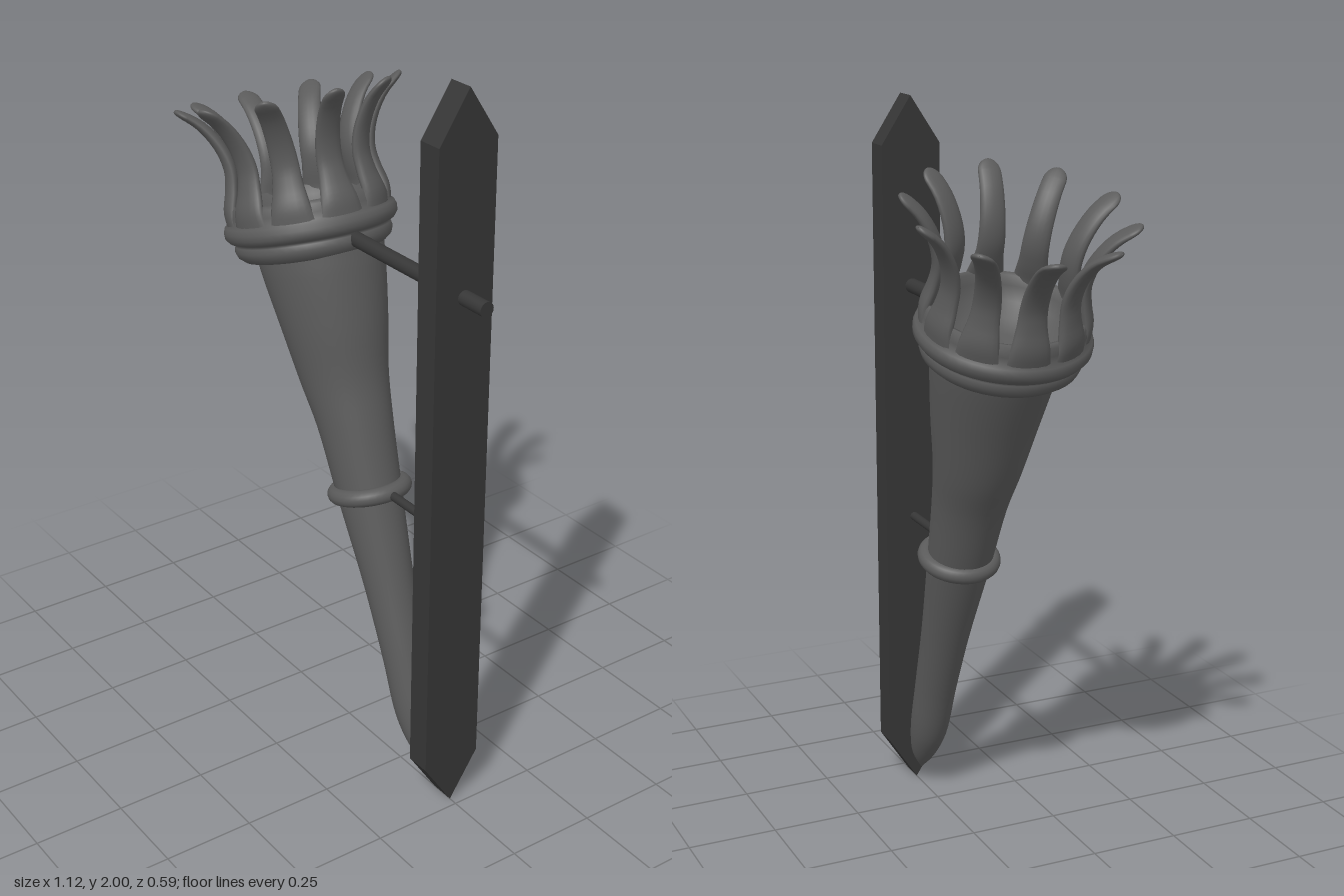
import * as THREE from 'three';

const torchMat = new THREE.MeshStandardMaterial({ color: 0x5a5a5a });
const ironMat = new THREE.MeshStandardMaterial({ color: 0x363636 });
const Z = new THREE.Vector3(0, 0, 1);

function add(parent, name, geometry, material) {
  const mesh = new THREE.Mesh(geometry, material);
  mesh.name = name;
  parent.add(mesh);
  return mesh;
}

// Skin through elliptical sections: {center, out, ro (along out), rz (along z)}
function loft(sections, sides) {
  const pos = [], idx = [];
  sections.forEach(({ center, out, ro, rz }, i) => {
    for (let j = 0; j < sides; j++) {
      const a = (j / sides) * Math.PI * 2;
      const p = center.clone().addScaledVector(out, Math.cos(a) * ro).addScaledVector(Z, Math.sin(a) * rz);
      pos.push(p.x, p.y, p.z);
      if (i === 0) continue;
      const k = (j + 1) % sides, lo = (i - 1) * sides, hi = i * sides;
      idx.push(lo + j, hi + j, lo + k, lo + k, hi + j, hi + k);
    }
  });
  const g = new THREE.BufferGeometry();
  g.setAttribute('position', new THREE.Float32BufferAttribute(pos, 3));
  g.setIndex(idx);
  g.computeVertexNormals();
  return g;
}

// Tapering, slightly bent handle; each point is x, y, radius
function handleGeometry() {
  const curve = new THREE.CatmullRomCurve3([
    [0.368, 0.048, 0.002], [0.352, 0.1, 0.032], [0.315, 0.185, 0.052], [0.259, 0.349, 0.059],
    [0.188, 0.54, 0.068], [0.092, 0.788, 0.088], [0.026, 0.968, 0.102], [-0.021, 1.079, 0.118],
    [-0.066, 1.222, 0.142], [-0.114, 1.36, 0.163], [-0.132, 1.41, 0.168],
  ].map((p) => new THREE.Vector3(...p)));
  const tilt = THREE.MathUtils.degToRad(16);
  const out = new THREE.Vector3(Math.cos(tilt), Math.sin(tilt), 0);
  return loft(curve.getPoints(50).map((p) => {
    const r = Math.max(p.z, 0.001);
    return { center: new THREE.Vector3(p.x, p.y, 0), out, ro: r, rz: r };
  }), 40);
}

// Flame-like petal: leans in at the waist, flares out to a rounded tip
function petalGeometry() {
  const path = new THREE.CatmullRomCurve3([
    [0.197, 0.02], [0.2, 0.06], [0.188, 0.11], [0.182, 0.165], [0.197, 0.225], [0.238, 0.29], [0.297, 0.338],
  ].map(([x, y]) => new THREE.Vector3(x, y, 0)));
  const width = new THREE.CatmullRomCurve3([
    [0.062, 0.02, 0], [0.05, 0.019, 0], [0.038, 0.018, 0], [0.035, 0.017, 0], [0.032, 0.014, 0], [0.03, 0.009, 0],
  ].map((p) => new THREE.Vector3(...p)));
  const sections = [];
  for (let i = 0; i <= 30; i++) {
    const t = i < 20 ? i / 20 * 0.92 : 0.92 + 0.08 * Math.sin(((i - 20) / 10) * Math.PI / 2);
    const round = t > 0.92 ? Math.sqrt(Math.max(1 - ((t - 0.92) / 0.08) ** 2, 0.0004)) : 1;
    const tan = path.getTangent(t), w = width.getPoint(t);
    sections.push({
      center: path.getPoint(t),
      out: new THREE.Vector3(tan.y, -tan.x, 0),
      ro: w.y * Math.sqrt(round),
      rz: w.x * round,
    });
  }
  return loft(sections, 16);
}

function rod(parent, name, x0, x1, y, radius) {
  const mesh = add(parent, name, new THREE.CylinderGeometry(radius, radius, x1 - x0, 16), ironMat);
  mesh.rotation.z = Math.PI / 2;
  mesh.position.set((x0 + x1) / 2, y, 0);
}

export function createModel() {
  const model = new THREE.Group();
  model.name = 'wallTorch';

  // Wall plate with pointed ends
  const outline = new THREE.Shape([
    [0, 0], [0.085, 0.13], [0.085, 1.87], [0, 2], [-0.085, 1.87], [-0.085, 0.13],
  ].map((p) => new THREE.Vector2(...p)));
  const plate = add(model, 'wallPlate', new THREE.ExtrudeGeometry(outline, { depth: 0.07, bevelEnabled: false }), ironMat);
  plate.rotation.y = Math.PI / 2;
  plate.position.x = 0.405;

  // Support rods
  rod(model, 'upperRod', 0.0, 0.56, 1.483, 0.02);
  rod(model, 'lowerRod', 0.15, 0.42, 0.815, 0.012);

  // Handle and its collar
  add(model, 'handle', handleGeometry(), torchMat);
  const collar = new THREE.Group();
  collar.name = 'collar';
  collar.position.set(0.095, 0.79, 0);
  collar.rotation.z = THREE.MathUtils.degToRad(16);
  model.add(collar);
  add(collar, 'collarRing', new THREE.TorusGeometry(0.091, 0.023, 14, 40), torchMat).rotation.x = Math.PI / 2;

  // Head: moulded cup with a hollow bowl
  const head = new THREE.Group();
  head.name = 'head';
  head.position.set(-0.175, 1.468, 0);
  head.rotation.z = THREE.MathUtils.degToRad(17);
  model.add(head);
  const profile = [
    [0, -0.082], [0.165, -0.082], [0.187, -0.077], [0.203, -0.064], [0.209, -0.048], [0.206, -0.034],
    [0.202, -0.028], [0.218, -0.023], [0.228, -0.01], [0.229, 0.005], [0.224, 0.019], [0.212, 0.028],
    [0.211, 0.045], [0.206, 0.065], [0.198, 0.074], [0.186, 0.07], [0.178, 0.045], [0.16, 0.01],
    [0.125, -0.02], [0.075, -0.042], [0, -0.046],
  ].map((p) => new THREE.Vector2(...p));
  add(head, 'cup', new THREE.LatheGeometry(profile, 48), torchMat);

  // Ring of petals
  const petal = petalGeometry();
  for (let i = 0; i < 10; i++) {
    add(head, 'petal', petal, torchMat).rotation.y = -THREE.MathUtils.degToRad(8 + i * 36);
  }
  return model;
}
